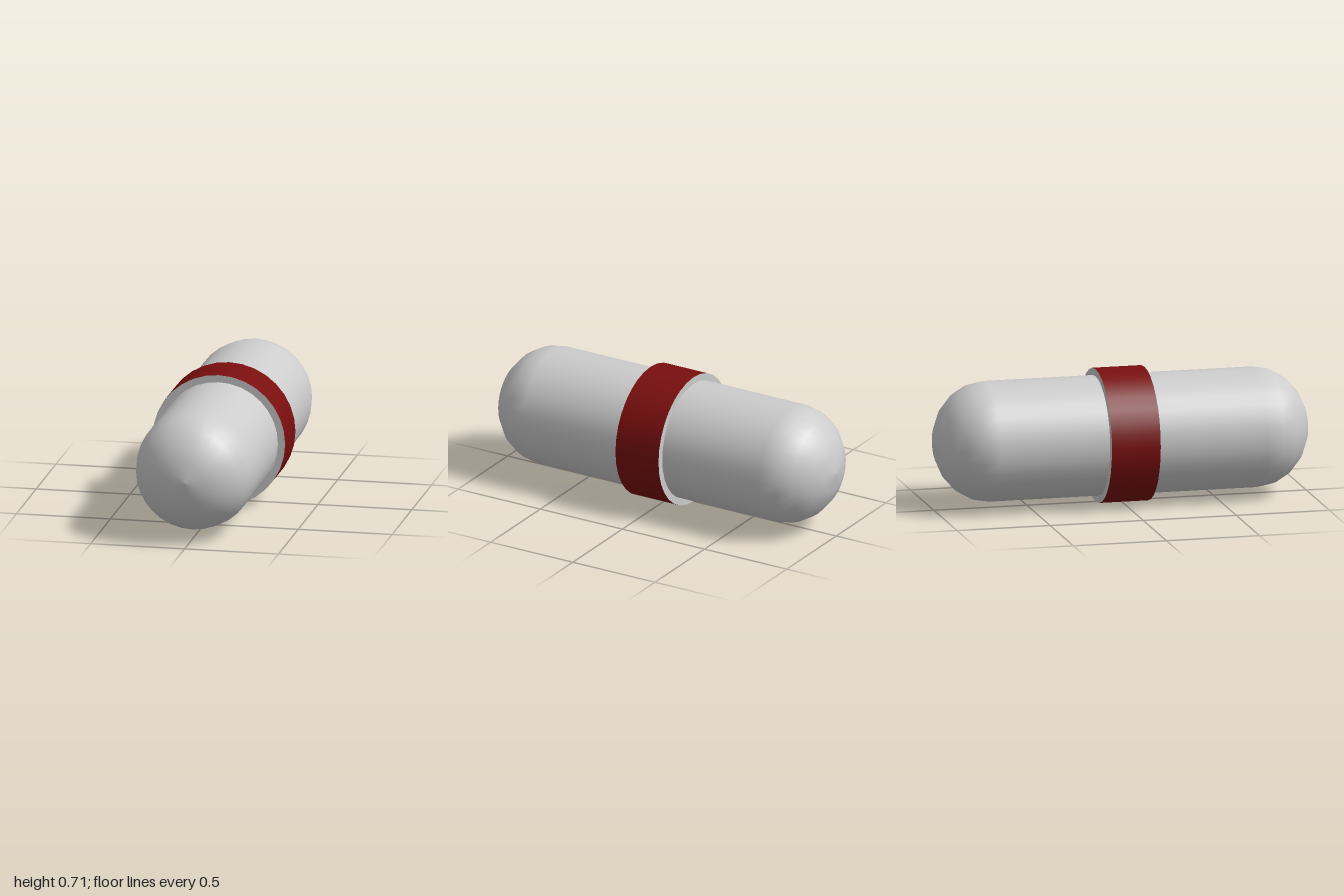
import * as THREE from 'three';

const SIDES = 32;
const AXIS_Y = 0.353;

export function createModel() {
  const grey = new THREE.MeshStandardMaterial({ color: 0xcccccc });
  grey.name = 'light grey';
  const red = new THREE.MeshStandardMaterial({ color: 0x7a0e0e });
  red.name = 'dark red';

  const model = new THREE.Group();
  model.name = 'bandedCapsule';

  // Capsule body: straight tube with slightly flattened domes, turned around z
  const radius = 0.315, straight = 0.72, dome = 0.28, steps = 5;
  const profile = [];
  for (let i = 0; i <= steps; i++) {
    const a = (i / steps) * Math.PI / 2;
    profile.push(new THREE.Vector2(radius * Math.sin(a), -straight - dome * Math.cos(a)));
  }
  for (let i = steps; i >= 0; i--) {
    profile.push(new THREE.Vector2(profile[i].x, -profile[i].y));
  }
  const body = new THREE.Mesh(new THREE.LatheGeometry(profile, SIDES), grey);
  body.name = 'capsuleBody';

  // Raised middle band: red rim with grey end faces
  const band = new THREE.Mesh(
    new THREE.CylinderGeometry(AXIS_Y, AXIS_Y, 0.262, SIDES),
    [red, grey, grey]
  );
  band.name = 'middleBand';

  for (const part of [body, band]) {
    part.geometry.rotateX(Math.PI / 2);
    part.position.y = AXIS_Y;
    model.add(part);
  }
  return model;
}
